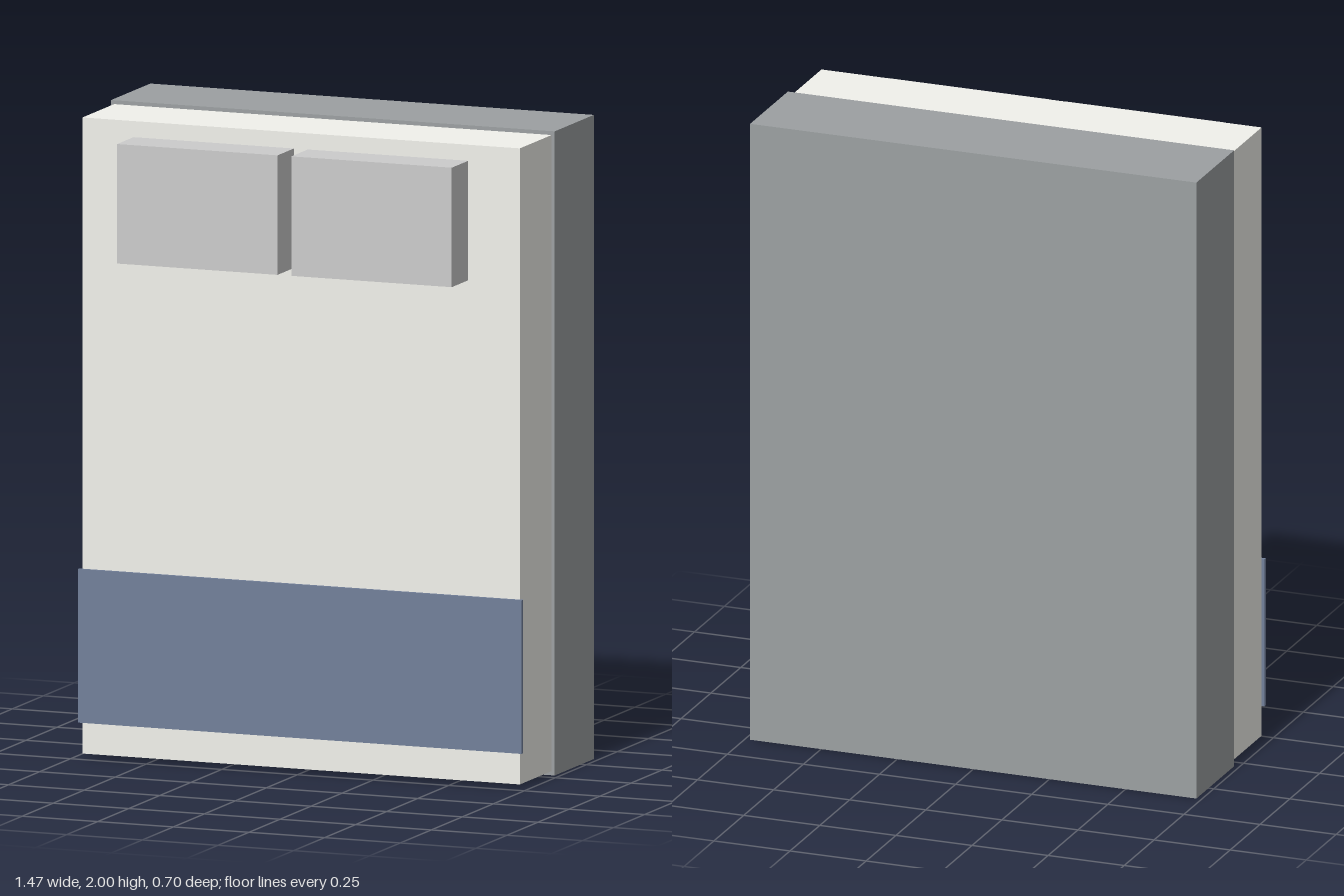
import * as THREE from 'three';

const material = (color) => new THREE.MeshStandardMaterial({ color });

// Box given by its minimum and maximum corners
function box(name, mat, min, max) {
  const size = max.map((v, i) => v - min[i]);
  const mesh = new THREE.Mesh(new THREE.BoxGeometry(...size), mat);
  mesh.position.set(...max.map((v, i) => (v + min[i]) / 2));
  mesh.name = name;
  return mesh;
}

export function createModel() {
  const bed = new THREE.Group();
  bed.name = 'bed';

  const baseMat = material(0x9ca0a2);
  const mattressMat = material(0xf2f2ec);
  const throwMat = material(0x72809a);
  const pillowMat = material(0xcccccc);

  // Bed base at the back, with the slightly smaller mattress on its front
  bed.add(box('base', baseMat, [-0.733, 0, -0.352], [0.733, 2, -0.036]));
  bed.add(box('mattress', mattressMat, [-0.723, 0.013, -0.036], [0.723, 1.988, 0.22]));

  // Thin blanket across the foot end, overhanging the mattress sides
  bed.add(box('footBlanket', throwMat, [-0.733, 0.11, 0.218], [0.733, 0.587, 0.23]));

  // Pair of pillows at the head end
  for (const [name, x] of [['rightPillow', -0.289], ['leftPillow', 0.287]]) {
    bed.add(box(name, pillowMat, [x - 0.265, 1.567, 0.22], [x + 0.265, 1.938, 0.352]));
  }

  return bed;
}
